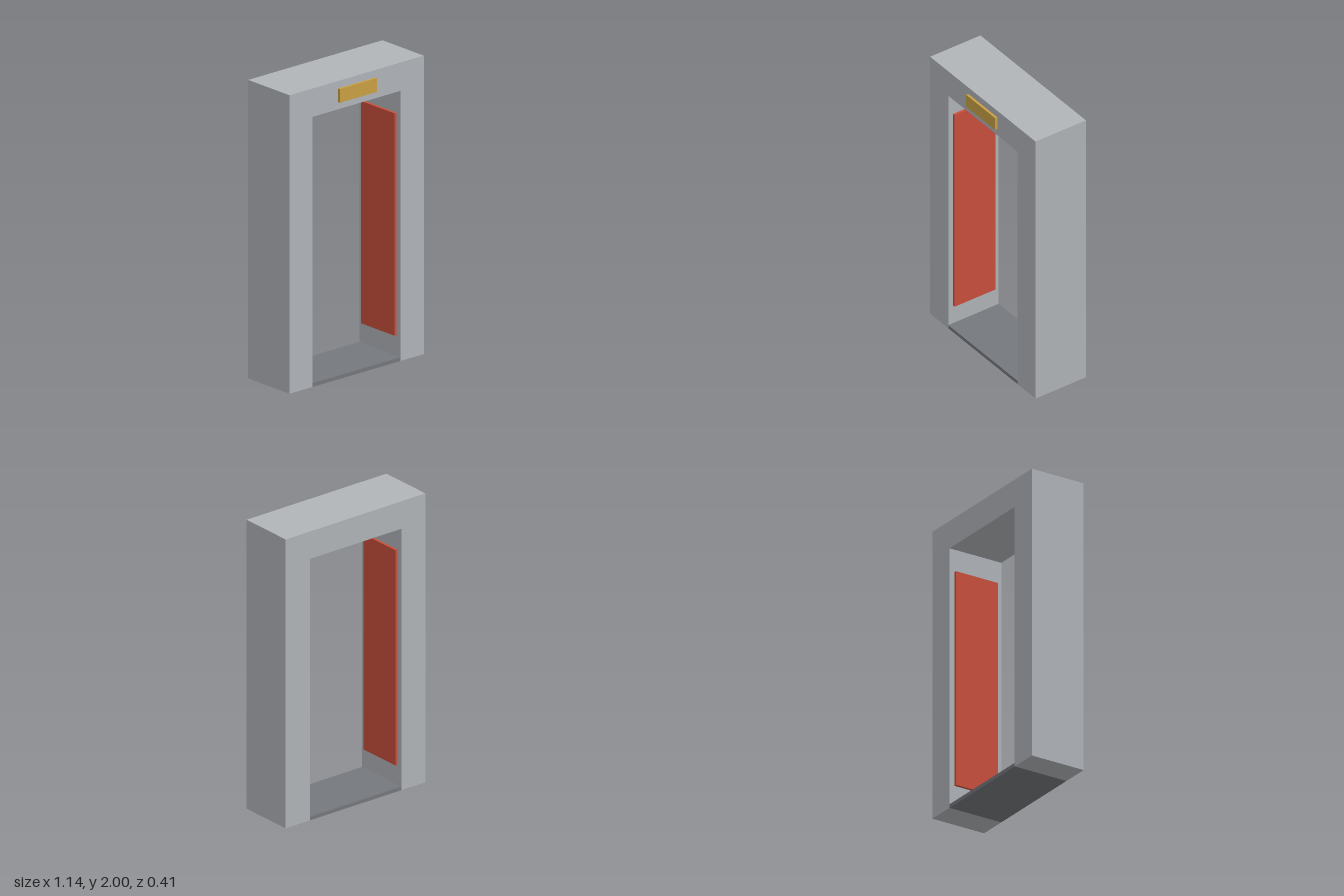
import * as THREE from 'three';

const material = (name, color) => {
  const m = new THREE.MeshStandardMaterial({ color });
  m.name = name;
  return m;
};

export function createModel() {
  const group = new THREE.Group();
  group.name = 'doorFrameGate';

  const grey = material('frameGrey', 0xb0b4b8);
  const darkGrey = material('sillGrey', 0x75787c);
  const red = material('panelRed', 0xc94f3c);
  const gold = material('signGold', 0xc9a044);

  // Box given by its limits on each axis
  const box = (name, mat, [x0, x1], [y0, y1], [z0, z1]) => {
    const mesh = new THREE.Mesh(new THREE.BoxGeometry(x1 - x0, y1 - y0, z1 - z0), mat);
    mesh.position.set((x0 + x1) / 2, (y0 + y1) / 2, (z0 + z1) / 2);
    mesh.name = name;
    group.add(mesh);
  };

  const W = 0.568, inner = 0.372, lintelY = 1.81, sillY = 0.025;
  const back = -0.205, front = 0.188;

  // Posts and lintel as one continuous arch
  const arch = new THREE.Shape([
    [-W, 0], [-inner, 0], [-inner, lintelY], [inner, lintelY],
    [inner, 0], [W, 0], [W, 2], [-W, 2],
  ].map(([x, y]) => new THREE.Vector2(x, y)));
  const frame = new THREE.Mesh(
    new THREE.ExtrudeGeometry(arch, { depth: front - back, bevelEnabled: false }), grey);
  frame.position.z = back;
  frame.name = 'frame';
  group.add(frame);

  // Floor sill between the posts
  box('sill', darkGrey, [-inner, inner], [0, sillY], [back, front]);

  // Red panels on the inner faces of the posts
  const panelY = [0.163, 1.653], panelZ = [-0.168, 0.151];
  box('leftPanel', red, [0.354, inner], panelY, panelZ);
  box('rightPanel', red, [-inner, -0.354], panelY, panelZ);

  // Plain sign plate on the lintel
  box('signPlate', gold, [-0.157, 0.157], [1.858, 1.95], [front, 0.205]);

  return group;
}
